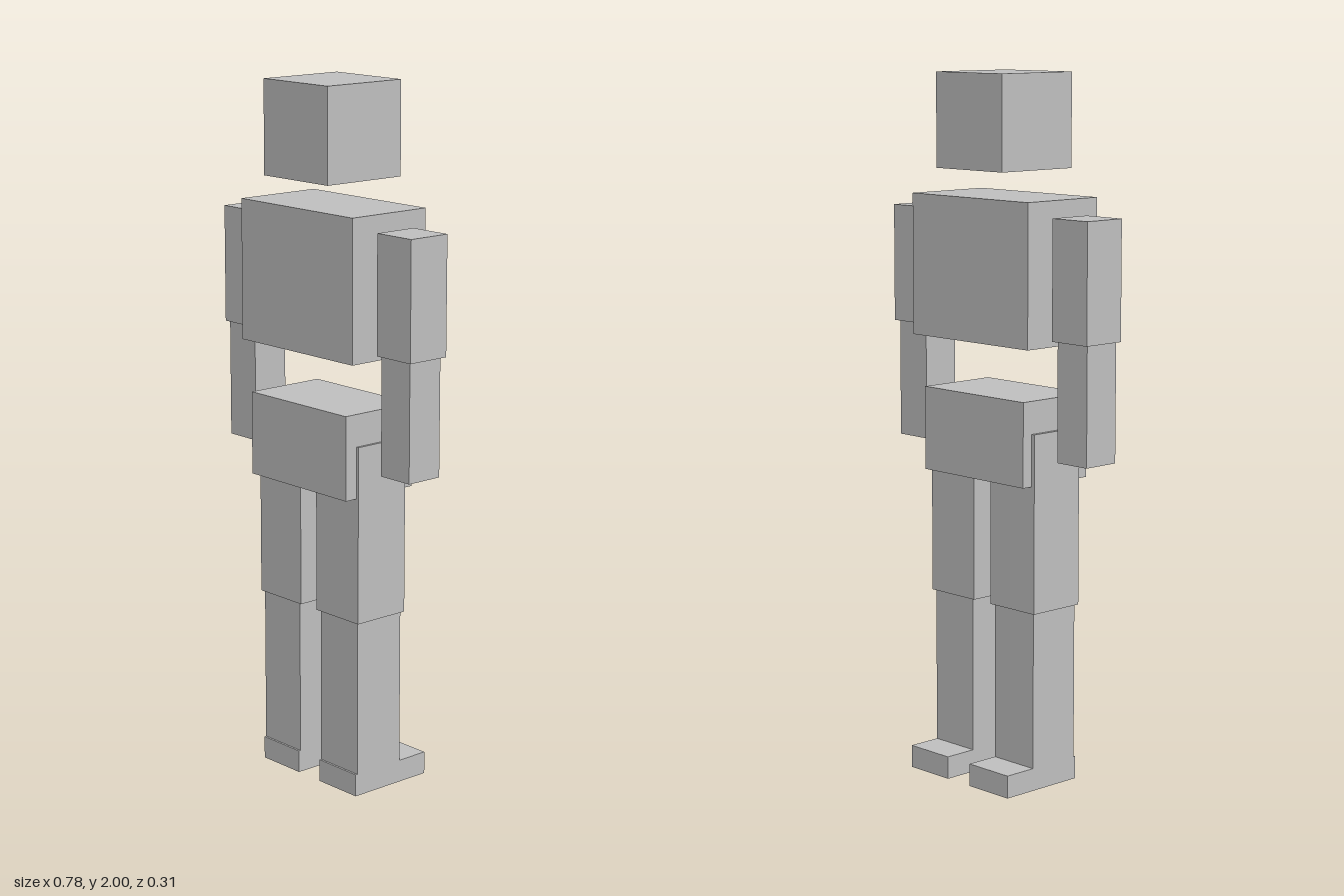
import * as THREE from 'three';

export function createModel() {
  const model = new THREE.Group();
  model.name = 'blockFigure';
  const grey = new THREE.MeshStandardMaterial({ color: 0xbfbfbf });
  grey.name = 'plain grey';

  // Box given by its extents along each axis
  function block(name, [x0, x1], [y0, y1], [z0, z1], parent = model) {
    const mesh = new THREE.Mesh(new THREE.BoxGeometry(x1 - x0, y1 - y0, z1 - z0), grey);
    mesh.position.set((x0 + x1) / 2, (y0 + y1) / 2, (z0 + z1) / 2);
    mesh.name = name;
    parent.add(mesh);
  }

  // Head and trunk
  block('head', [-0.132, 0.132], [1.735, 2], [-0.112, 0.154]);
  block('chest', [-0.232, 0.232], [1.26, 1.66], [-0.112, 0.154]);
  block('pelvis', [-0.201, 0.199], [0.873, 1.112], [-0.098, 0.148]);

  // Limbs: centre offset on each side, half width, height range, depth range
  const limbs = [
    ['UpperArm', 0.322, -0.324, 0.066, [1.28, 1.615], [-0.045, 0.087]],
    ['Forearm', 0.321, -0.325, 0.056, [0.945, 1.28], [-0.034, 0.078]],
    ['Thigh', 0.119, -0.124, 0.088, [0.513, 1.02], [-0.066, 0.109]],
    ['Shin', 0.122, -0.124, 0.0775, [0.065, 0.513], [-0.058, 0.104]],
    ['Foot', 0.122, -0.124, 0.0775, [0, 0.065], [-0.157, 0.11]],
  ];
  for (const [part, left, right, half, y, z] of limbs) {
    block('left' + part, [left - half, left + half], y, z);
    block('right' + part, [right - half, right + half], y, z);
  }
  return model;
}
